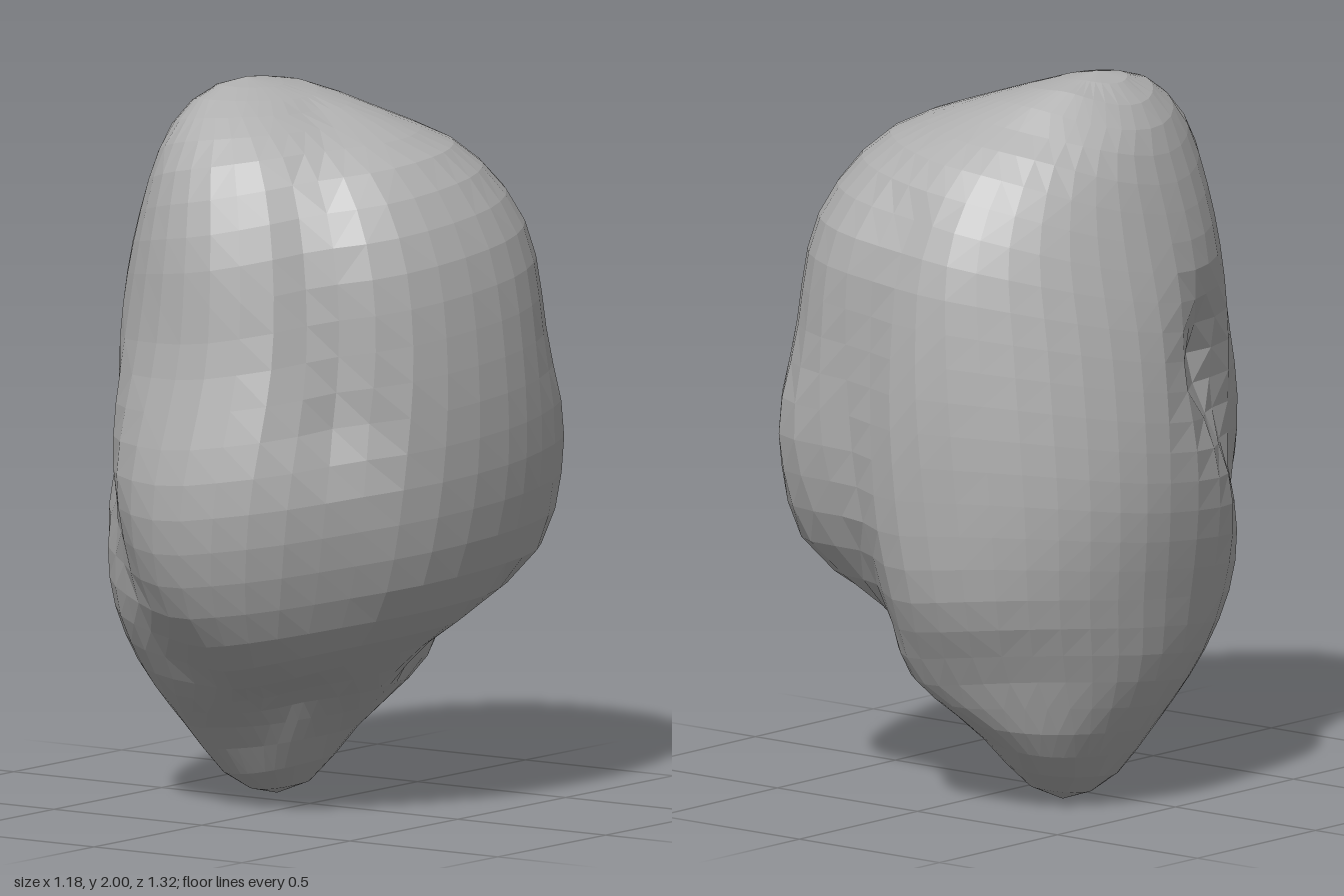
import * as THREE from 'three';

const COLUMNS = 38;
const ROWS = 28;

// Egg-shaped outlines: height, centre x, centre z, then left, right, back and front limits
const outlines = [
  [0, -0.19, -0.11, -0.19, -0.19, -0.11, -0.11],
  [0.04, -0.19, -0.1, -0.29, -0.09, -0.2, 0.03],
  [0.2, -0.2, -0.1, -0.41, 0.04, -0.37, 0.18],
  [0.4, 0, -0.08, -0.51, 0.27, -0.52, 0.46],
  [0.6, -0.03, -0.1, -0.55, 0.48, -0.62, 0.6],
  [0.9, 0, -0.12, -0.585, 0.575, -0.66, 0.665],
  [1.3, 0.03, -0.1, -0.545, 0.585, -0.665, 0.585],
  [1.6, 0.02, -0.08, -0.465, 0.535, -0.62, 0.55],
  [1.8, -0.03, -0.05, -0.395, 0.4, -0.46, 0.47],
  [1.89, -0.07, 0.02, -0.34, 0.22, -0.3, 0.38],
  [1.97, -0.16, 0.05, -0.26, -0.03, -0.15, 0.22],
  [2, -0.17, 0.06, -0.17, -0.17, 0.06, 0.06],
];

// A groove follows a curve over the surface and presses it inwards; a negative depth swells it
function groove(depth, width, ...path) {
  const curve = new THREE.CatmullRomCurve3(path.map((p) => new THREE.Vector3(...p)));
  return { depth, width, points: curve.getPoints(24) };
}

const grooves = [
  // Under the front lobe, from the left side down to the foot
  groove(0.12, 0.16, [-0.47, 1.2, 0.2], [-0.26, 0.78, 0.42], [-0.08, 0.52, 0.38], [0.06, 0.33, 0.22]),
  // Beside the front ridge, from the top downwards
  groove(0.075, 0.14, [0.12, 1.9, 0.14], [0.29, 1.6, 0.4], [0.42, 1.15, 0.43]),
  // Flat flank of the front lobe
  groove(0.03, 0.2, [0.44, 0.95, 0.4], [0.4, 0.65, 0.4]),
  // Hollow and crease behind the rear lobe
  groove(0.13, 0.17, [0.27, 0.48, -0.34], [0.18, 0.58, -0.46]),
  groove(0.05, 0.13, [0.16, 0.75, -0.58], [0.1, 1.2, -0.63], [0, 1.6, -0.56]),
  // Bulge of the rear lobe
  groove(-0.06, 0.2, [0.42, 0.74, -0.46], [0.42, 1, -0.52]),
];

// Point of an outline at an angle measured from +x towards +z
function outlinePoint([y, cx, cz, left, right, back, front], angle) {
  const c = Math.cos(angle), s = Math.sin(angle);
  return new THREE.Vector3(
    cx + c * (c > 0 ? right - cx : cx - left), y,
    cz + s * (s > 0 ? front - cz : cz - back));
}

// Presses the grooves towards the upright axis
function carve(point) {
  let push = 0;
  for (const { depth, width, points } of grooves) {
    const distance = Math.min(...points.map((p) => p.distanceTo(point)));
    push += depth * Math.exp(-((distance / width) ** 2));
  }
  const inward = new THREE.Vector3(-0.05 - point.x, 0, -0.05 - point.z).normalize();
  return point.clone().addScaledVector(inward, push);
}

// Evenly spaced meridian from foot to top
function meridian(column) {
  const angle = (column / COLUMNS) * Math.PI * 2;
  const curve = new THREE.CatmullRomCurve3(outlines.map((o) => outlinePoint(o, angle)));
  return curve.getSpacedPoints(ROWS).map(carve);
}

// Skins the meridians with flat facets, cutting each patch along its shorter diagonal
function skin(meridians) {
  const corners = [];
  meridians.forEach((line, i) => {
    const next = meridians[(i + 1) % COLUMNS];
    corners.push(line[0], line[1], next[1]);
    for (let r = 1; r < ROWS - 1; r++) {
      const a = line[r], b = line[r + 1], d = next[r], e = next[r + 1];
      if (a.distanceTo(e) < b.distanceTo(d)) corners.push(a, b, e, a, e, d);
      else corners.push(a, b, d, d, b, e);
    }
    corners.push(line[ROWS - 1], line[ROWS], next[ROWS - 1]);
  });
  const geometry = new THREE.BufferGeometry().setFromPoints(corners);
  geometry.computeVertexNormals();
  return geometry;
}

export function createModel() {
  const stone = new THREE.MeshStandardMaterial({ color: 0xb0b0b0 });
  stone.name = 'grey stone';

  // Lumpy rock with a narrow foot and overhanging lobes
  const rock = new THREE.Mesh(skin(Array.from({ length: COLUMNS }, (_, i) => meridian(i))), stone);
  rock.name = 'rock';

  const model = new THREE.Group();
  model.name = 'boulder';
  model.add(rock);
  return model;
}
